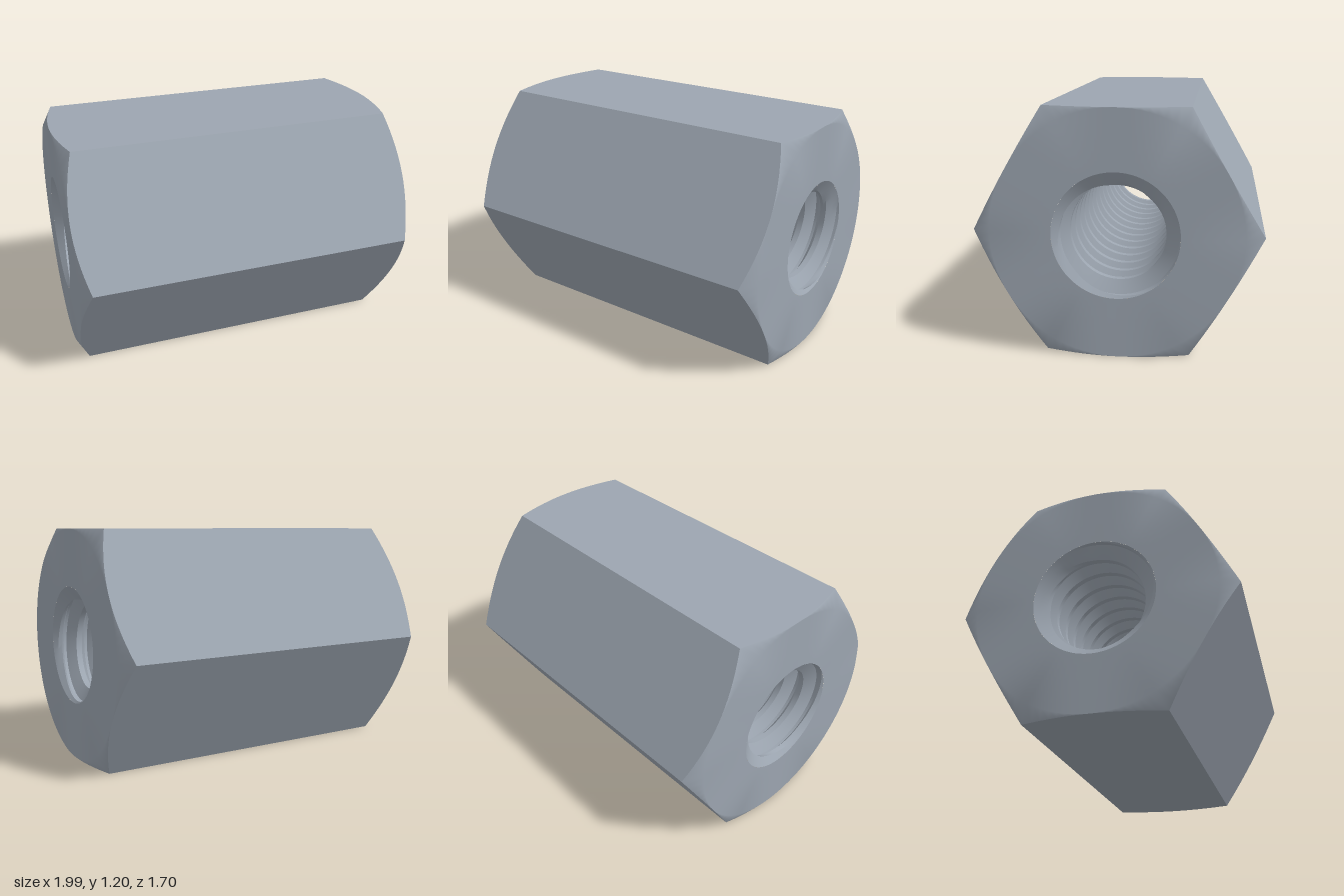
import * as THREE from 'three';
import { mergeVertices, toCreasedNormals } from 'three/addons/utils/BufferGeometryUtils.js';

const APOTHEM = 0.6, HALF = 0.892, YAW = 12 * Math.PI / 180;
const MINOR = 0.235, MAJOR = 0.298, PITCH = 0.12;
const SINK = 0.305, SINK_DEPTH = 0.05;

// Grid surface of fn(a, b); it faces along dA x dB
function grid(fn, nA, nB) {
  const pos = [], index = [];
  for (let a = 0; a <= nA; a++) for (let b = 0; b <= nB; b++) pos.push(...fn(a, b));
  for (let a = 0; a < nA; a++) for (let b = 0; b < nB; b++) {
    const p = a * (nB + 1) + b, q = p + nB + 1;
    index.push(p, q, q + 1, p, q + 1, p + 1);
  }
  const g = new THREE.BufferGeometry();
  g.setAttribute('position', new THREE.Float32BufferAttribute(pos, 3));
  g.setIndex(index);
  return g;
}

const polar = (u, r, t) => [u, r * Math.cos(t), r * Math.sin(t)];

// Hexagon radius at an angle, with flats at 0, 60, 120... degrees
function hexRadius(t) {
  const s = Math.PI / 3;
  return APOTHEM / Math.cos(t - Math.round(t / s) * s);
}

// 30 degree chamfer cone that trims the hexagon ends
const endAt = r => HALF - Math.max(0, r - APOTHEM) * Math.tan(Math.PI / 6);

export function createModel() {
  const model = new THREE.Group();
  const nut = new THREE.Group();
  nut.name = 'couplingNut';
  nut.rotation.y = -YAW;
  nut.position.y = APOTHEM;
  model.add(nut);

  const steel = new THREE.MeshStandardMaterial({ color: 0x9ca5b0 });
  steel.name = 'steel';
  const add = (name, geometry) => {
    const mesh = new THREE.Mesh(geometry, steel);
    mesh.name = name;
    nut.add(mesh);
    return mesh;
  };

  // Six flat sides with curved chamfered ends
  for (let i = 0; i < 6; i++) {
    const n = 16;
    const g = grid((a, b) => {
      const t = (a / n - 0.5) * Math.PI / 3;
      const r = APOTHEM / Math.cos(t);
      return polar((b ? 1 : -1) * endAt(r), r, t + i * Math.PI / 3);
    }, n, 1);
    g.computeVertexNormals();
    add('hexSide', g);
  }

  // End faces: flat ring running softly into the chamfer
  for (const turn of [0, Math.PI]) {
    const n = 96;
    const g = mergeVertices(grid((a, b) => {
      const t = b / n * Math.PI * 2;
      const r = [SINK, APOTHEM, hexRadius(t)][a];
      return polar(endAt(r), r, t);
    }, 2, n), 1e-5);
    g.computeVertexNormals();
    add('endFace', g).rotation.y = turn;
  }

  // Helical thread, opened at both ends by a countersink
  const profile = [
    [0, MINOR], [0.125, MINOR], [0.25, MINOR], [0.41, (MINOR + MAJOR) / 2],
    [0.56, MAJOR], [0.69, MAJOR], [0.84, (MINOR + MAJOR) / 2]
  ];
  const turns = 18, segments = 56;
  const thread = grid((a, b) => {
    const [offset, radius] = profile[a % profile.length];
    const along = Math.floor(a / profile.length) - turns / 2 + offset + b / segments;
    const u = THREE.MathUtils.clamp(along * PITCH, -HALF, HALF);
    const cone = SINK - (HALF - Math.abs(u)) * (SINK - MINOR) / SINK_DEPTH;
    return polar(u, Math.max(radius, cone), b / segments * Math.PI * 2);
  }, turns * profile.length, segments);
  add('threadedBore', toCreasedNormals(thread, 0.4));

  return model;
}
